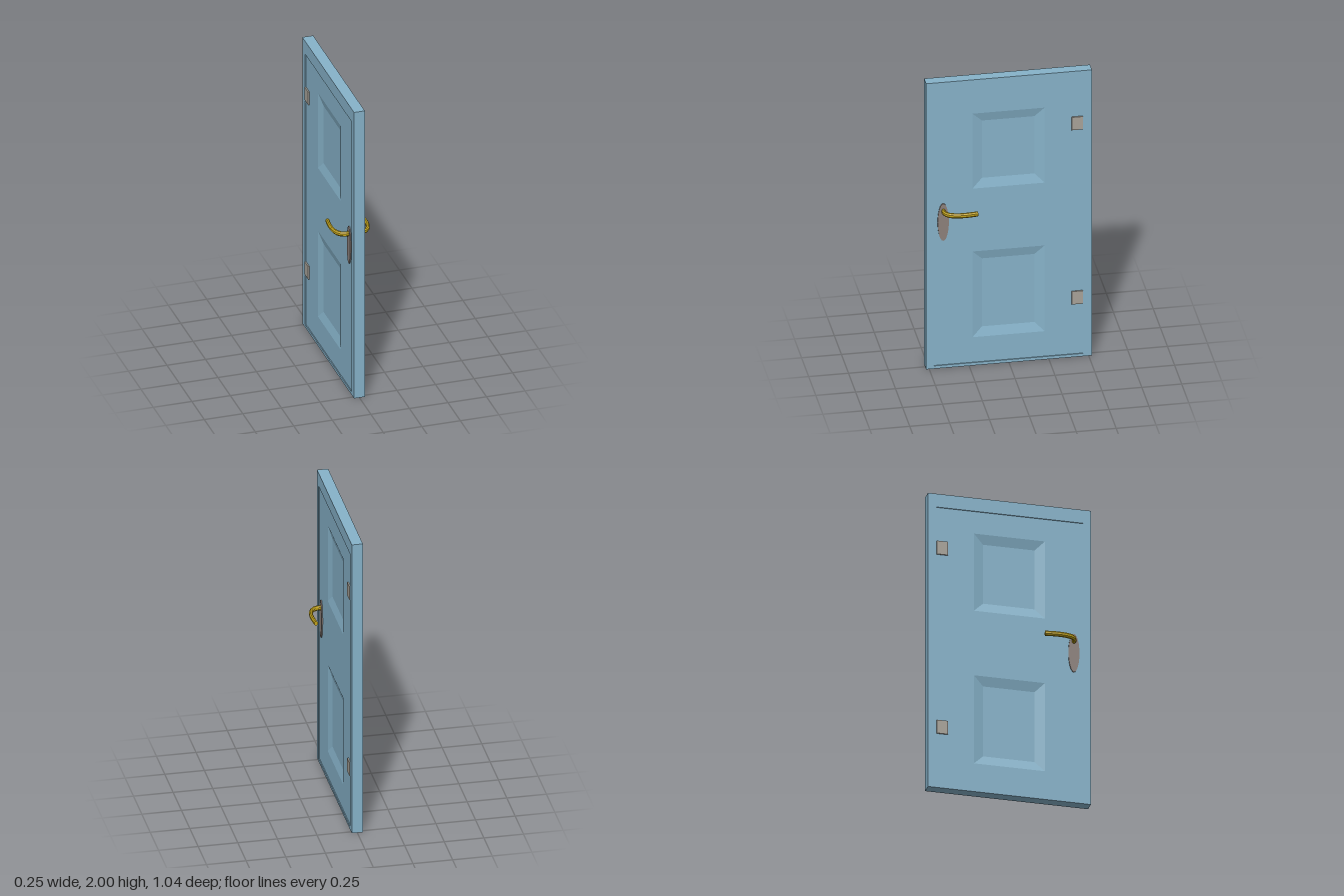
import * as THREE from 'three';

const mat = (name, color) => {
  const m = new THREE.MeshStandardMaterial({ color });
  m.name = name;
  return m;
};

// Rectangle outline in the (z, y) plane of the door
function rect(Type, z0, z1, y0, y1) {
  return new Type([[z0, y0], [z1, y0], [z1, y1], [z0, y1]].map(p => new THREE.Vector2(...p)));
}

// Flat slab with openings, its thickness running along x
function slab(outer, holes, half) {
  outer.holes.push(...holes);
  const g = new THREE.ExtrudeGeometry(outer, { depth: half * 2, bevelEnabled: false });
  return g.translate(0, 0, -half).rotateY(-Math.PI / 2);
}

// Sunken panel: four sloped sides and a flat floor, facing side s
function sunkenPanel(s, p, half, depth, border) {
  const ring = (x, b) => [
    [x, p.y0 + b, p.z1 - b], [x, p.y0 + b, p.z0 + b],
    [x, p.y1 - b, p.z0 + b], [x, p.y1 - b, p.z1 - b],
  ];
  const verts = [...ring(s * half, 0), ...ring(s * (half - depth), border)];
  const tris = [[4, 5, 6], [4, 6, 7]];
  for (let i = 0; i < 4; i++) {
    const j = (i + 1) % 4;
    tris.push([i, j, j + 4], [i, j + 4, i + 4]);
  }
  const order = tris.flatMap(t => (s > 0 ? t : [t[0], t[2], t[1]]));
  const g = new THREE.BufferGeometry();
  g.setAttribute('position', new THREE.Float32BufferAttribute(order.flatMap(i => verts[i]), 3));
  g.computeVertexNormals();
  return g;
}

export function createModel() {
  const door = new THREE.Group();
  door.name = 'door';
  const paint = mat('blue paint', 0x86b2c9);
  const steel = mat('hinge metal', 0xa8a298);
  const plateMetal = mat('handle plate metal', 0x8c807b);
  const brass = mat('brass', 0xc4a51c);
  const add = (name, geometry, material) => {
    const m = new THREE.Mesh(geometry, material);
    m.name = name;
    door.add(m);
    return m;
  };

  const FRAME = 0.035, LEAF = 0.029;
  const opening = [-0.465, 0.47, 0.02, 1.91];
  const panels = [
    { z0: -0.225, z1: 0.228, y0: 1.235, y1: 1.76 },
    { z0: -0.225, z1: 0.228, y0: 0.195, y1: 0.795 },
  ];

  // Surrounding frame and the slightly set-back leaf
  add('frame', slab(rect(THREE.Shape, -0.52, 0.52, 0, 2), [rect(THREE.Path, ...opening)], FRAME), paint);
  const cutouts = panels.map(p => rect(THREE.Path, p.z0, p.z1, p.y0, p.y1));
  add('leaf', slab(rect(THREE.Shape, ...opening), cutouts, LEAF), paint);

  // Octagonal handle section
  const section = new THREE.Shape();
  for (let i = 0; i < 8; i++) {
    const a = (i + 0.5) * Math.PI / 4;
    section[i ? 'lineTo' : 'moveTo'](0.0125 * Math.cos(a), 0.0125 * Math.sin(a));
  }
  section.closePath();

  for (const s of [1, -1]) {
    const side = s > 0 ? 'Left' : 'Right';

    panels.forEach((p, i) =>
      add((i ? 'lowerPanel' : 'upperPanel') + side, sunkenPanel(s, p, LEAF, 0.016, 0.062), paint));

    // Hinges
    for (const y of [1.635, 0.415]) {
      const g = new THREE.BoxGeometry(0.014, 0.09, 0.07);
      add('hinge' + side, g, steel).position.set(s * 0.031, y, -0.428);
    }

    // Oval plate behind the handle
    const plate = new THREE.CylinderGeometry(1, 1, 0.01, 24).rotateZ(Math.PI / 2);
    const plateMesh = add('handlePlate' + side, plate, plateMetal);
    plateMesh.scale.set(1, 0.13, 0.035);
    plateMesh.position.set(s * 0.031, 1.02, 0.412);

    // Curved lever handle
    const path = new THREE.CatmullRomCurve3([
      [0.025, 0.41], [0.065, 0.41], [0.096, 0.385], [0.112, 0.335], [0.114, 0.275], [0.107, 0.208],
    ].map(([x, z]) => new THREE.Vector3(s * x, 0, z)));
    const lever = new THREE.ExtrudeGeometry(section, { steps: 9, extrudePath: path, bevelEnabled: false });
    const leverMesh = add('handle' + side, lever, brass);
    leverMesh.scale.y = 1.35;
    leverMesh.position.y = 1.098;
  }
  return door;
}
